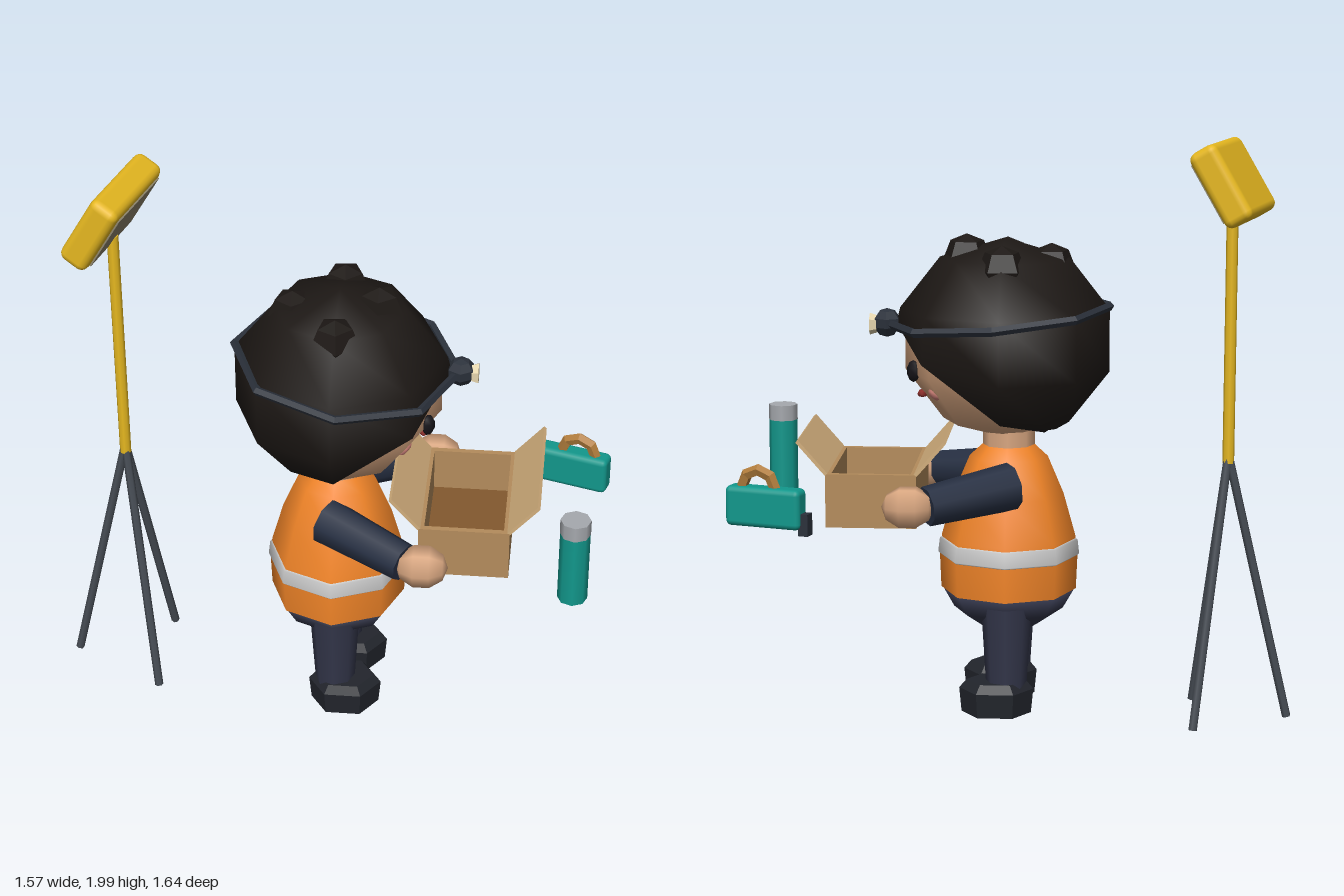
import * as THREE from 'three';
import { RoundedBoxGeometry } from 'three/addons/geometries/RoundedBoxGeometry.js';

const V = (x, y, z) => new THREE.Vector3(x, y, z);
const mat = (color, flat = false, side = THREE.FrontSide) => {
  const m = new THREE.MeshStandardMaterial({ color });
  m.flatShading = flat;
  m.side = side;
  return m;
};
const SKIN = mat(0xd8a680), HAIR = mat(0x1d1815), CURL = mat(0x1d1815, true), ORANGE = mat(0xf08428);
const SILVER = mat(0xd4d6d8), NAVY = mat(0x262f42), PANTS = mat(0x33364a), BOOT = mat(0x22252c, true);
const SLATE = mat(0x2b313b, true), STEEL = mat(0x474d55), YELLOW = mat(0xe6b820), TEAL = mat(0x12988c);
const CARD = mat(0xb48c5c), FLAP = mat(0xd2ae7c), INSIDE = mat(0x83592f), BRASS = mat(0xb07c3c, true);

function add(parent, name, geometry, material, x = 0, y = 0, z = 0) {
  const mesh = new THREE.Mesh(geometry, material);
  mesh.name = name;
  mesh.position.set(x, y, z);
  parent.add(mesh);
  return mesh;
}

// tapered rod between two points
function rod(parent, name, a, b, r0, r1, sides, material) {
  const mesh = add(parent, name, new THREE.CylinderGeometry(r1, r0, a.distanceTo(b), sides), material);
  mesh.position.copy(a).lerp(b, 0.5);
  mesh.quaternion.setFromUnitVectors(V(0, 1, 0), b.clone().sub(a).normalize());
  return mesh;
}

const lathe = (points, sides) =>
  new THREE.LatheGeometry(points.map(([r, y]) => new THREE.Vector2(r, y)), sides);

// eight-sided dome whose rim drops from the brow to the nape
function hairGeometry() {
  const g = new THREE.SphereGeometry(1, 8, 5);
  const p = g.attributes.position, n = g.attributes.normal;
  const rim = [81, 98, 136, 147, 152];
  for (let i = 0; i < p.count; i++) {
    const col = i % 9, row = Math.floor(i / 9);
    const phi = col * Math.PI / 4;
    let k = Math.abs(col - 2);              // column 2 faces forward
    if (k > 4) k = 8 - k;
    const theta = THREE.MathUtils.degToRad(Math.min(row * 36, rim[k]));
    const v = V(-Math.cos(phi) * Math.sin(theta), Math.cos(theta), Math.sin(phi) * Math.sin(theta));
    p.setXYZ(i, v.x, v.y, v.z);
    n.setXYZ(i, v.x, v.y, v.z);
  }
  return g;
}

function buildHead() {
  const head = new THREE.Group();
  head.name = 'head';
  head.position.set(0, 1.305, 0.015);
  add(head, 'face', new THREE.SphereGeometry(1, 8, 5), SKIN).scale.set(0.36, 0.34, 0.36);
  const hair = add(head, 'hair', hairGeometry(), HAIR);
  hair.material.side = THREE.DoubleSide;
  hair.scale.set(0.378, 0.352, 0.378);
  [[0, 0.28, 0.13], [0, 0.25, -0.16], [0.17, 0.26, 0], [-0.17, 0.25, 0]].forEach(([x, y, z], i) => {
    const curl = add(head, 'hairCurl', new THREE.SphereGeometry(0.085, 5, 4), CURL, x, y, z);
    curl.rotation.y = i * 1.3;
  });
  for (const s of [-1, 1]) {
    const eye = add(head, 'eye', new THREE.SphereGeometry(1, 6, 5), mat(0x17151a), s * 0.11, -0.095, 0.305);
    eye.scale.set(0.028, 0.038, 0.022);
    eye.rotation.y = s * 0.39;
    const cheek = add(head, 'cheek', new THREE.SphereGeometry(1, 6, 4), mat(0xd5857c), s * 0.15, -0.165, 0.227);
    cheek.scale.set(0.046, 0.025, 0.02);
    cheek.rotation.set(0.6, s * 0.39, 0, 'YXZ');
  }
  add(head, 'mouth', new THREE.SphereGeometry(1, 6, 4), mat(0x8c2f2c), 0, -0.19, 0.283).scale.set(0.036, 0.014, 0.02);

  // head torch on its strap
  const strap = add(head, 'strap', new THREE.TorusGeometry(0.38, 0.016, 5, 8), SLATE, 0, 0.085, 0.02);
  strap.rotation.x = Math.PI / 2 + 0.09;
  add(head, 'torchBody', new THREE.SphereGeometry(0.05, 6, 5), SLATE, 0, 0.055, 0.405);
  const lens = add(head, 'torchLens', new THREE.CylinderGeometry(0.038, 0.03, 0.025, 6), mat(0xe6d6ae, true), 0, 0.05, 0.452);
  lens.rotation.x = Math.PI / 2;
  return head;
}

function buildBody() {
  const body = new THREE.Group();
  body.name = 'body';
  add(body, 'neck', new THREE.CylinderGeometry(0.09, 0.09, 0.12, 8), SKIN, 0, 0.95, 0);
  add(body, 'vest', lathe([[0.235, 0.43], [0.24, 0.55], [0.232, 0.62], [0.19, 0.77], [0.135, 0.9], [0.08, 0.95]], 8), ORANGE);
  add(body, 'reflectiveBand', lathe([[0.241, 0.55], [0.246, 0.555], [0.24, 0.605], [0.232, 0.61]], 8), SILVER);
  add(body, 'hips', lathe([[0, 0.295], [0.1, 0.3], [0.19, 0.36], [0.233, 0.435], [0, 0.435]], 8), PANTS);
  const bootShape = [[0, 0.015], [0.105, 0.015], [0.112, 0.1], [0.09, 0.13], [0, 0.13]];
  for (const s of [-1, 1]) {
    add(body, 'leg', new THREE.CylinderGeometry(0.09, 0.07, 0.32, 8), PANTS, s * 0.123, 0.27, 0);
    add(body, 'boot', lathe(bootShape, 6), BOOT, s * 0.123, 0, 0.035).scale.set(0.95, 1, 1.15);
    rod(body, 'sleeve', V(s * 0.16, 0.825, -0.02), V(s * 0.32, 0.785, 0.26), 0.082, 0.068, 8, NAVY);
    const hand = add(body, 'hand', new THREE.SphereGeometry(0.078, 6, 5), SKIN, s * 0.335, 0.785, 0.32);
    hand.rotation.set(Math.PI / 2, 0, 0);
    hand.scale.set(0.9, 1.15, 1);
  }
  return body;
}

// open carton with a front and a back flap
function buildCarton() {
  const carton = new THREE.Group();
  carton.name = 'carton';
  carton.position.set(0, 0.69, 0.455);
  const w = 0.49, d = 0.31, h = 0.185, t = 0.02;
  add(carton, 'cartonFloor', new THREE.BoxGeometry(w, t, d), CARD, 0, t / 2, 0);
  add(carton, 'cartonLining', new THREE.BoxGeometry(w - 2 * t, 0.01, d - 2 * t), INSIDE, 0, t + 0.005, 0);
  for (const s of [-1, 1]) {
    add(carton, 'cartonEnd', new THREE.BoxGeometry(t, h, d), CARD, s * (w - t) / 2, h / 2, 0);
    add(carton, 'cartonSide', new THREE.BoxGeometry(w - 2 * t, h, t), CARD, 0, h / 2, s * (d - t) / 2);
    const flap = add(carton, 'cartonFlap', new THREE.BoxGeometry(w, 0.15, 0.012), FLAP, 0, h + 0.055, s * (d / 2 + 0.046));
    flap.rotation.x = s * 0.72;
  }
  return carton;
}

function buildFloodlight() {
  const light = new THREE.Group();
  light.name = 'floodlight';
  light.position.set(-0.58, 0, -0.637);
  rod(light, 'pole', V(0, 0.9, 0), V(0, 1.77, 0), 0.02, 0.02, 8, YELLOW);
  for (const [x, z] of [[-0.15, -0.155], [0.215, -0.06], [-0.055, 0.21]])
    rod(light, 'tripodLeg', V(x, 0.008, z), V(0, 0.93, 0), 0.015, 0.015, 6, STEEL);
  const lamp = new THREE.Group();
  lamp.name = 'lamp';
  lamp.position.set(0, 1.86, 0);
  lamp.rotation.set(0.54, Math.PI / 6, 0, 'YXZ');
  add(lamp, 'lampHousing', new RoundedBoxGeometry(0.38, 0.28, 0.105, 2, 0.028), YELLOW);
  add(lamp, 'lampGlass', new THREE.BoxGeometry(0.315, 0.22, 0.012), mat(0x8f866c), 0, 0, 0.052);
  light.add(lamp);
  return light;
}

function buildFlask() {
  const flask = new THREE.Group();
  flask.name = 'flask';
  flask.position.set(0.25, 0, 0.775);
  add(flask, 'flaskBody', new THREE.CylinderGeometry(0.051, 0.051, 0.265, 8), TEAL, 0, 0.8225, 0);
  add(flask, 'flaskCap', new THREE.CylinderGeometry(0.052, 0.052, 0.055, 8), mat(0xa6a9ae), 0, 0.9825, 0);
  return flask;
}

function buildCarryCase() {
  const box = new THREE.Group();
  box.name = 'carryCase';
  box.position.set(0.69, 0.777, 0.295);
  box.rotation.y = 0.49;
  add(box, 'caseBody', new RoundedBoxGeometry(0.075, 0.138, 0.275, 2, 0.02), TEAL);
  add(box, 'caseFoot', new THREE.BoxGeometry(0.04, 0.075, 0.035), SLATE, 0, -0.05, -0.145);
  const handle = add(box, 'caseHandle', new THREE.TorusGeometry(0.062, 0.021, 5, 4, Math.PI), BRASS, 0, 0.062, 0.025);
  handle.rotation.y = Math.PI / 2;
  return box;
}

export function createModel() {
  const model = new THREE.Group();
  model.name = 'workerScene';
  const worker = new THREE.Group();
  worker.name = 'worker';
  worker.position.set(-0.105, 0, -0.045);
  worker.rotation.y = Math.PI / 4;
  worker.add(buildHead(), buildBody(), buildCarton());
  model.add(worker, buildFloodlight(), buildFlask(), buildCarryCase());
  return model;
}
